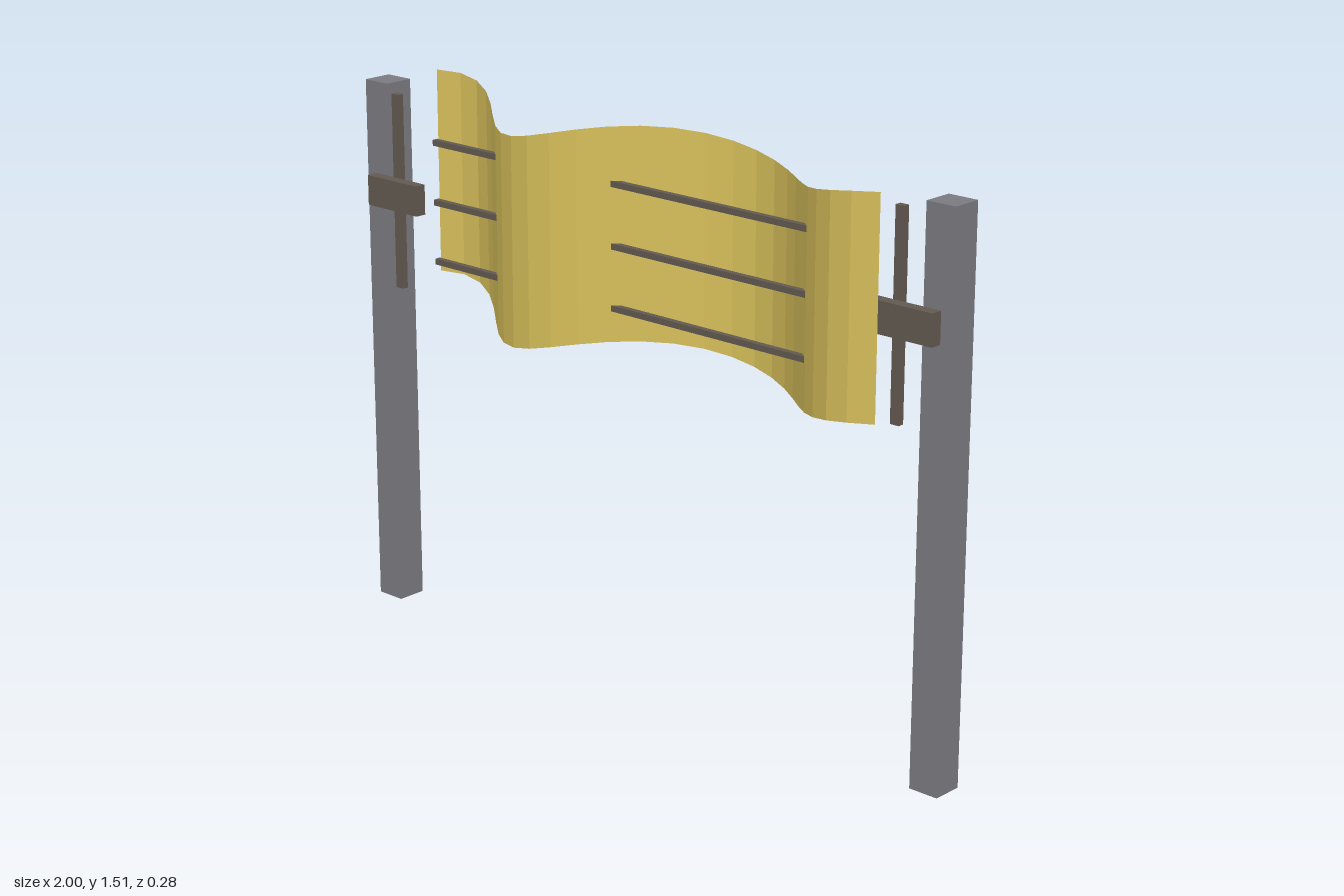
import * as THREE from 'three';

const gold = new THREE.MeshStandardMaterial({ color: 0xd6be5a, side: THREE.DoubleSide, flatShading: true });
gold.name = 'gold panel';
const grey = new THREE.MeshStandardMaterial({ color: 0x7b7a80 });
grey.name = 'grey post';
const brown = new THREE.MeshStandardMaterial({ color: 0x625950 });
brown.name = 'brown metal';

// Box given by its limits on each axis
function box(name, material, [x0, x1], [y0, y1], [z0, z1]) {
  const mesh = new THREE.Mesh(new THREE.BoxGeometry(x1 - x0, y1 - y0, z1 - z0), material);
  mesh.position.set((x0 + x1) / 2, (y0 + y1) / 2, (z0 + z1) / 2);
  mesh.name = name;
  return mesh;
}

// Thin sheet waving both in depth and in height
function wavyPanel() {
  const length = 1.72, centre = -0.023;
  const geometry = new THREE.PlaneGeometry(length, 0.566, 26, 1);
  const p = geometry.attributes.position;
  for (let i = 0; i < p.count; i++) {
    const x = p.getX(i);
    const y = p.getY(i) + 1.194 + 0.0325 * Math.cos((4 * Math.PI * x) / length);
    const z = -0.14 * Math.sin(5.75 * x + 0.63 * x ** 3);
    p.setXYZ(i, x + centre, y, z);
  }
  geometry.computeVertexNormals();
  const mesh = new THREE.Mesh(geometry, gold);
  mesh.name = 'wavyPanel';
  return mesh;
}

export function createModel() {
  const model = new THREE.Group();
  model.name = 'wavyPanelOnPosts';
  model.add(wavyPanel());

  // Posts and the brackets on their front faces
  for (const [side, s] of [['right', -1], ['left', 1]]) {
    const span = (a, b) => (s > 0 ? [a, b] : [-b, -a]);
    model.add(box(side + 'Post', grey, span(0.915, 1), [0, 1.49], [-0.043, 0.041]));
    model.add(box(side + 'Bracket', brown, span(0.777, 0.967), [1.152, 1.235], [0.041, 0.073]));
  }

  // Upright rods behind the brackets
  model.add(box('rightRod', brown, [-0.899, -0.873], [0.925, 1.465], [0.023, 0.041]));
  model.add(box('leftRod', brown, [0.825, 0.851], [0.925, 1.465], [0.023, 0.041]));

  // Horizontal bars passing through the panel
  for (const y of [1.03, 1.194, 1.358]) {
    model.add(box('crossBar', brown, [-0.735, 0.69], [y - 0.008, y + 0.008], [0.03, 0.047]));
  }
  return model;
}
